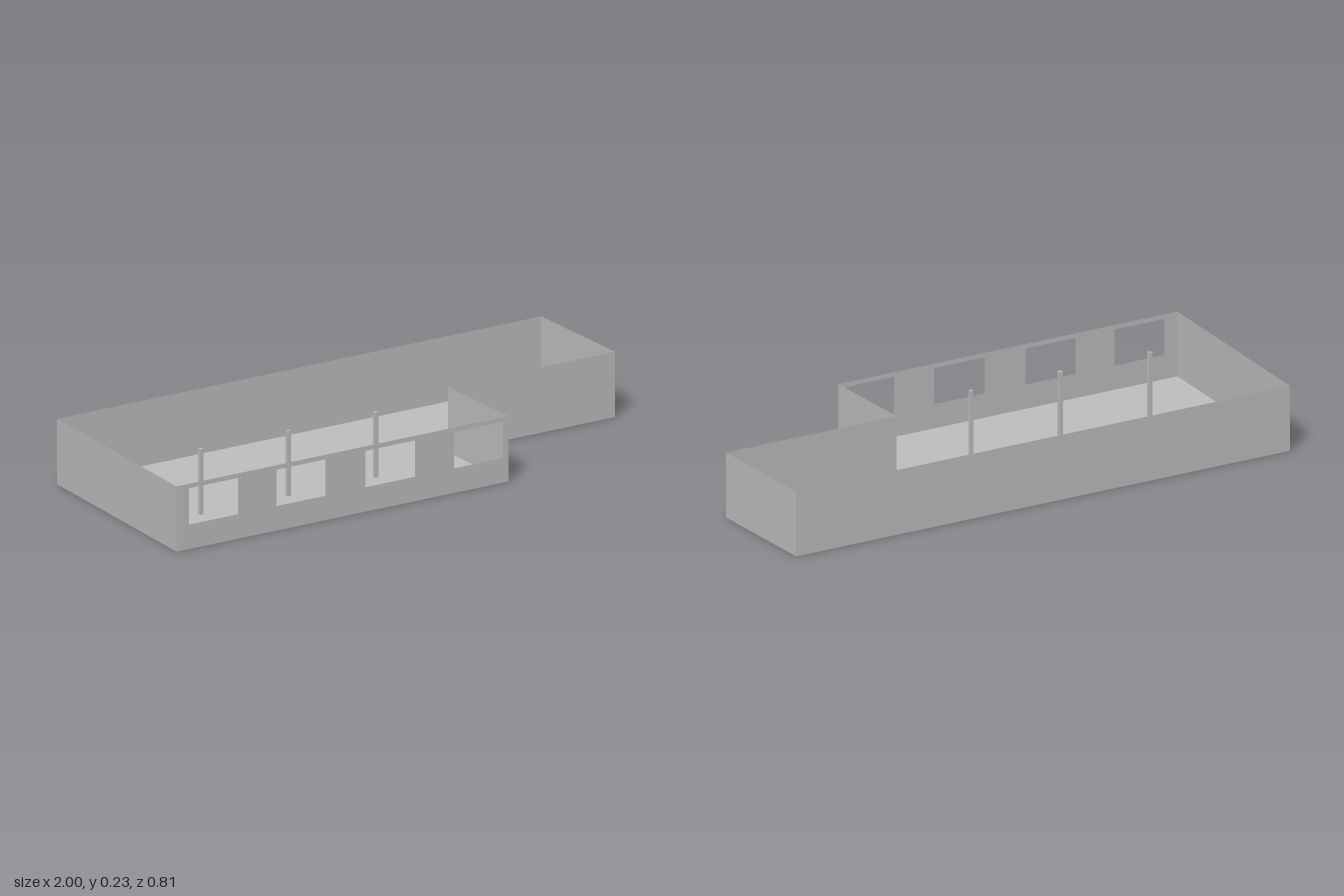
import * as THREE from 'three';

const HEIGHT = 0.23;

export function createModel() {
  const model = new THREE.Group();
  model.name = 'openBuilding';
  const grey = new THREE.MeshStandardMaterial({ color: 0xc0c0c0, side: THREE.DoubleSide });
  grey.name = 'plain grey';

  const add = (name, geometry) => {
    const mesh = new THREE.Mesh(geometry, grey);
    mesh.name = name;
    model.add(mesh);
    return mesh;
  };

  // Plan corners as [x, z], starting with the windowed front wall
  const plan = [[-1, 0.405], [0.33, 0.405], [0.33, 0.04], [1, 0.04], [1, -0.405], [-0.94, -0.405]];
  const wallNames = ['frontWall', 'notchSideWall', 'notchFrontWall', 'leftWall', 'backWall', 'slantedRightWall'];

  // Floor slab, a thin sheet following the plan
  const floorShape = new THREE.Shape(plan.map(([x, z]) => new THREE.Vector2(x, -z)));
  add('floor', new THREE.ShapeGeometry(floorShape).rotateX(-Math.PI / 2));

  const rectangle = (Type, x0, y0, x1, y1) => new Type([
    new THREE.Vector2(x0, y0), new THREE.Vector2(x1, y0),
    new THREE.Vector2(x1, y1), new THREE.Vector2(x0, y1),
  ]);

  // Sheet walls along each plan edge; the front one has four window openings
  plan.forEach(([x, z], i) => {
    const [nx, nz] = plan[(i + 1) % plan.length];
    const shape = rectangle(THREE.Shape, 0, 0, Math.hypot(nx - x, nz - z), HEIGHT);
    if (i === 0) {
      for (const left of [0.05, 0.4, 0.758, 1.112]) {
        shape.holes.push(rectangle(THREE.Path, left, 0.086, left + 0.197, 0.214));
      }
    }
    const wall = add(wallNames[i], new THREE.ShapeGeometry(shape));
    wall.position.set(x, 0, z);
    wall.rotation.y = Math.atan2(z - nz, nx - x);
  });

  // Row of slim square columns
  [-0.715, -0.364, -0.014].forEach((x, i) => {
    const column = add(`column${i + 1}`, new THREE.BoxGeometry(0.013, HEIGHT, 0.013));
    column.position.set(x, HEIGHT / 2, 0.122);
  });

  return model;
}
